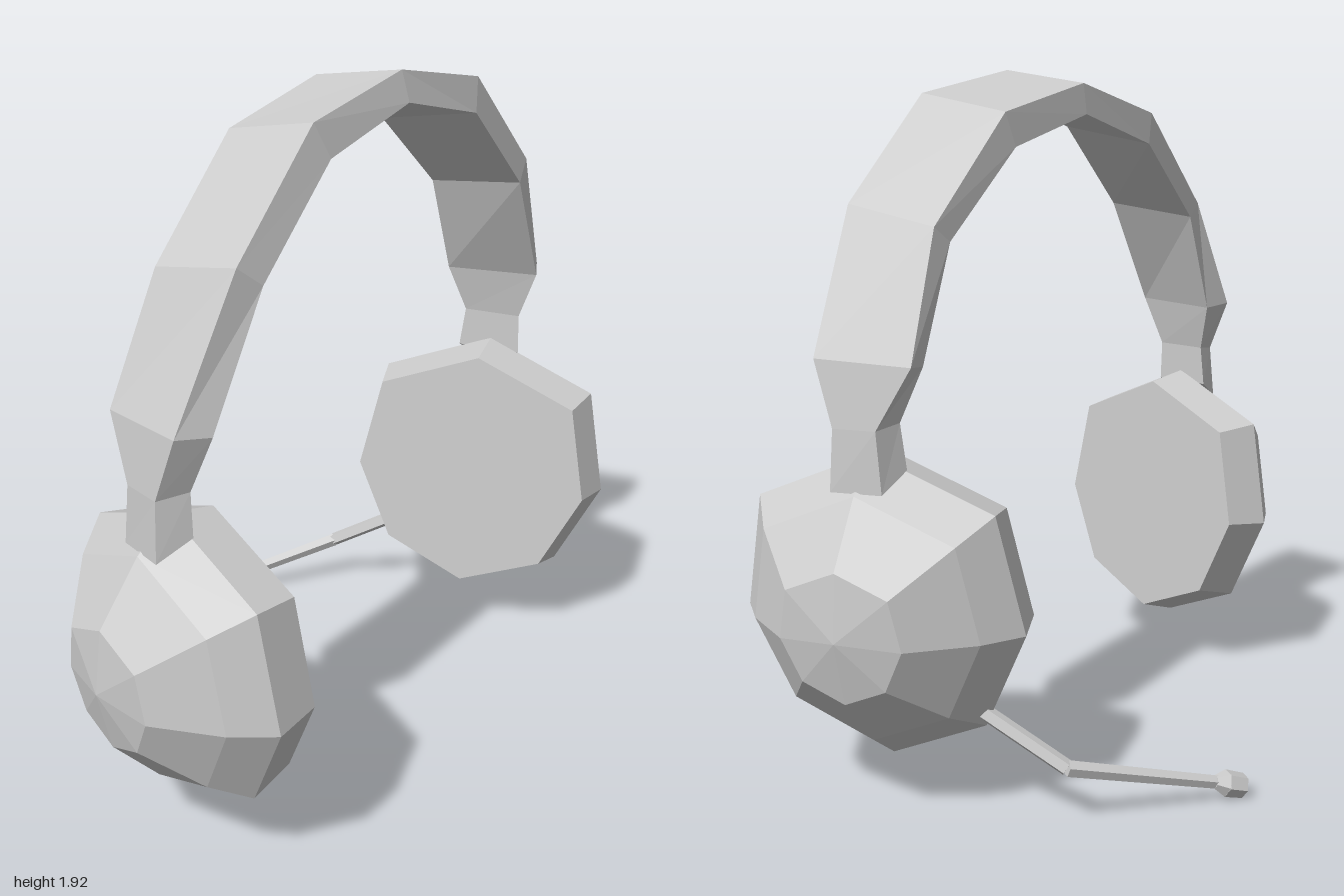
import * as THREE from 'three';

const material = new THREE.MeshStandardMaterial({ color: 0xcccccc, flatShading: true });

// Skin a list of equal-sized rings (counterclockwise seen from the far end) and close both ends.
function loft(name, rings) {
  const n = rings[0].length;
  const index = [];
  for (let r = 0; r < rings.length - 1; r++) {
    for (let i = 0; i < n; i++) {
      const a = r * n + i, b = r * n + (i + 1) % n;
      index.push(a, b, b + n, a, b + n, a + n);
    }
  }
  const last = (rings.length - 1) * n;
  for (let i = 1; i < n - 1; i++) {
    index.push(0, i + 1, i, last, last + i, last + i + 1);
  }
  const geometry = new THREE.BufferGeometry();
  geometry.setAttribute('position', new THREE.Float32BufferAttribute(rings.flat(2), 3));
  geometry.setIndex(index);
  const flat = geometry.toNonIndexed();
  flat.computeVertexNormals();
  const mesh = new THREE.Mesh(flat, material);
  mesh.name = name;
  return mesh;
}

// Straight faceted rod between two points
function rod(name, from, to, r0, r1, sides) {
  const a = new THREE.Vector3(...from), b = new THREE.Vector3(...to);
  const dir = b.clone().sub(a);
  const mesh = new THREE.Mesh(new THREE.CylinderGeometry(r1, r0, dir.length(), sides), material);
  mesh.position.copy(a).add(b).multiplyScalar(0.5);
  mesh.quaternion.setFromUnitVectors(new THREE.Vector3(0, 1, 0), dir.normalize());
  mesh.name = name;
  return mesh;
}

// Ear cup: eight-sided pad, rim and shallow dome on a tilted axis; side is +1 (front) or -1 (back)
function earCup(name, side) {
  const outline = [[0, 0.41], [-0.335, 0.275], [-0.4, -0.035], [-0.275, -0.295],
    [0, -0.41], [0.275, -0.295], [0.4, -0.035], [0.335, 0.275]];
  // scale of the outline and distance along the cup axis
  const steps = [[0.92, -0.13], [1, 0], [0.8, 0.1], [0.42, 0.225], [0.001, 0.255]];
  const rings = steps.map(([k, d]) => {
    const ring = outline.map(([u, v]) => [
      0.2 + 0.97 * u * k - 0.24 * d,
      0.555 + v * k - 0.07 * d,
      side * (0.74 + 0.24 * u * k + 0.07 * v * k + 0.97 * d),
    ]);
    return side > 0 ? ring : ring.reverse();
  });
  return loft(name, rings);
}

// Headband: twisted four-cornered sections from the front cup to the crown, mirrored to the back.
// Corners: outer left-hand edge, outer right-hand edge, inner right-hand edge, inner left-hand edge
function headband() {
  const half = [
    [[0.11, 0.88, 0.83], [0.245, 0.88, 0.87], [0.29, 0.93, 0.785], [0.1, 0.93, 0.745]],
    [[0.125, 1.04, 0.83], [0.24, 1.04, 0.86], [0.285, 1.05, 0.785], [0.115, 1.05, 0.75]],
    [[0.04, 1.2, 0.79], [0.3, 1.21, 0.855], [0.345, 1.2, 0.77], [0.07, 1.19, 0.71]],
    [[0.075, 1.53, 0.65], [0.34, 1.58, 0.67], [0.362, 1.525, 0.6], [0.07, 1.49, 0.595]],
    [[0.07, 1.81, 0.36], [0.337, 1.86, 0.375], [0.36, 1.77, 0.335], [0.06, 1.72, 0.33]],
  ];
  const crown = [[0.07, 1.89, 0], [0.335, 1.93, 0], [0.36, 1.85, 0], [0.06, 1.805, 0]];
  const back = half.map(ring => ring.map(([x, y, z]) => [x, y, -z])).reverse();
  return loft('headband', [...half, crown, ...back]);
}

// Microphone: bent boom and a small tapered capsule
function microphone() {
  const group = new THREE.Group();
  group.name = 'microphone';
  const start = [-0.04, 0.315, -0.67], bend = [-0.275, 0.17, -0.59], end = [-0.53, 0.063, -0.245];
  group.add(
    rod('boomBase', start, bend, 0.022, 0.022, 5),
    rod('boomArm', bend, end, 0.022, 0.018, 5),
    rod('capsuleNeck', [-0.52, 0.067, -0.26], [-0.537, 0.058, -0.233], 0.018, 0.036, 6),
    rod('capsule', [-0.537, 0.058, -0.233], [-0.566, 0.042, -0.19], 0.036, 0.033, 6),
  );
  return group;
}

export function createModel() {
  const model = new THREE.Group();
  model.name = 'headset';
  model.add(earCup('frontEarCup', 1), earCup('backEarCup', -1), headband(), microphone());
  return model;
}
